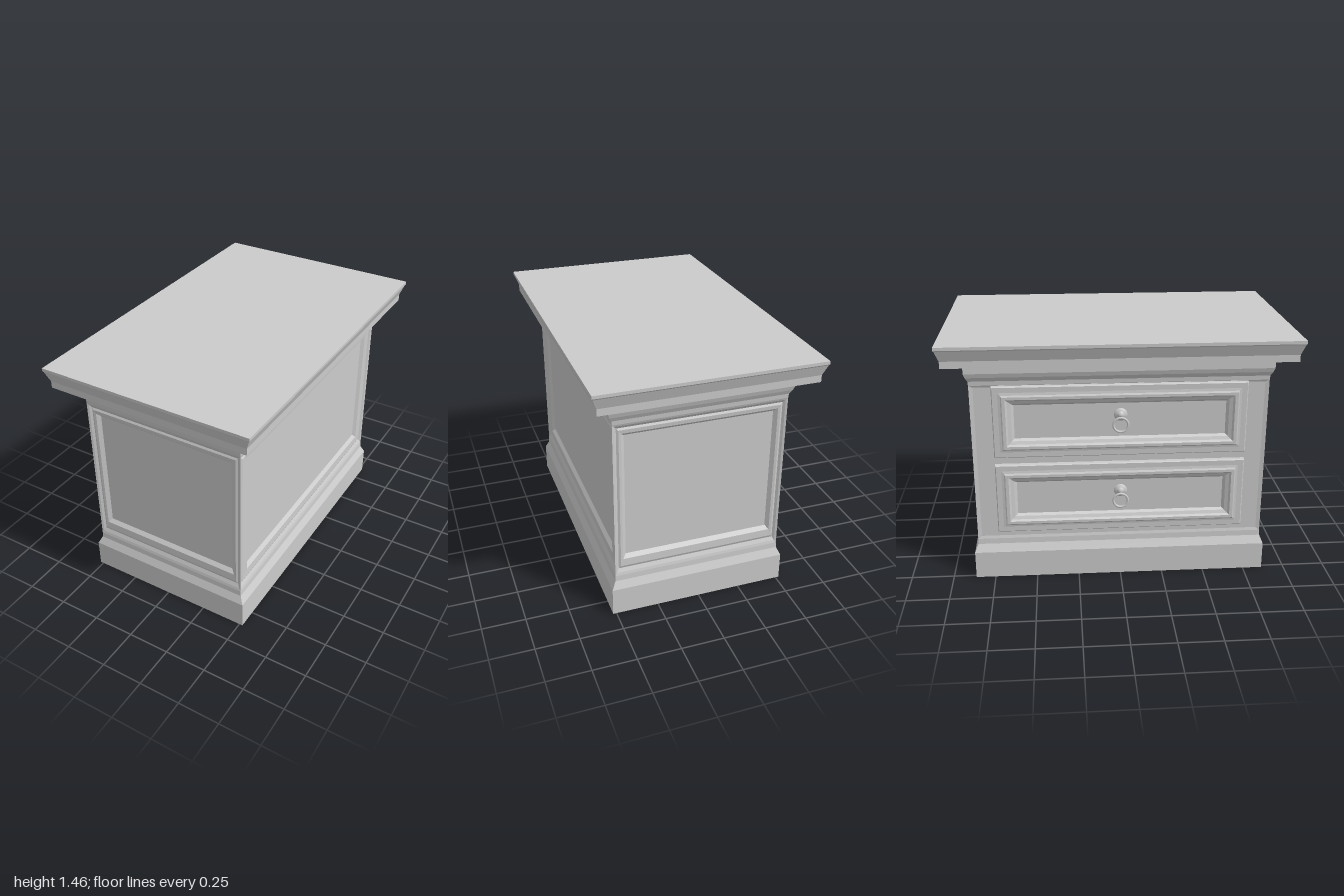
import * as THREE from 'three';

const grey = new THREE.MeshStandardMaterial({ color: 0xcccccc });

// Lofts rectangular rings [halfWidth, v0, v1, w] along local z, closing both ends.
function loft(name, rings, capStart = true) {
  const pos = [];
  const pts = rings.map(([h, v0, v1, w]) => [[-h, v0, w], [h, v0, w], [h, v1, w], [-h, v1, w]]);
  const quad = (a, b, c, d) => pos.push(...a, ...b, ...c, ...a, ...c, ...d);
  for (let i = 0; i + 1 < pts.length; i++) {
    for (let j = 0; j < 4; j++) {
      const k = (j + 1) % 4;
      quad(pts[i][j], pts[i][k], pts[i + 1][k], pts[i + 1][j]);
    }
  }
  const s = pts[0], e = pts[pts.length - 1];
  quad(e[0], e[1], e[2], e[3]);
  if (capStart) quad(s[3], s[2], s[1], s[0]);
  const geo = new THREE.BufferGeometry();
  geo.setAttribute('position', new THREE.Float32BufferAttribute(pos, 3));
  geo.computeVertexNormals();
  const mesh = new THREE.Mesh(geo, grey);
  mesh.name = name;
  return mesh;
}

// Horizontal moulding: sections are [halfX, halfZ, y].
function moulding(name, sections) {
  const mesh = loft(name, sections.map(([x, z, y]) => [x, -z, z, y]));
  mesh.rotation.x = -Math.PI / 2;
  return mesh;
}

// Framed, sunken panel for one side of the body.
function sidePanel(name, half, inset) {
  return loft(name, [
    [half, 0.245, 1.2, 0],
    [half - 0.012, 0.262, 1.188, -0.004],
    [half - 0.024, 0.285, 1.172, -0.014],
    [half - 0.036, 0.3, 1.16, -0.008],
    [half - inset + 0.02, 0.345, 1.138, -0.01],
    [half - inset, 0.368, 1.12, -0.028],
  ], false);
}

// Drawer front with raised frame, sunken field and ring pull.
function drawer(name, y) {
  const g = new THREE.Group();
  g.name = name;
  const r = (h, v, w) => [h, -v, v, w];
  g.add(loft('drawerFront', [
    r(0.72, 0.2125, -0.01), r(0.72, 0.2125, 0.02), r(0.715, 0.2075, 0.025),
    r(0.685, 0.1775, 0.025), r(0.67, 0.1625, 0.028), r(0.67, 0.1625, 0.036),
    r(0.663, 0.1555, 0.04), r(0.645, 0.14, 0.04), r(0.635, 0.13, 0.03),
    r(0.615, 0.112, 0.022), r(0.6, 0.1, 0.008),
  ]));
  const profile = [[0, 0.03], [0.012, 0.028], [0.018, 0.021], [0.024, 0.017], [0.036, 0.013], [0.04, 0.005]]
    .reverse().map(([x, h]) => new THREE.Vector2(x, h));
  const rosette = new THREE.Mesh(new THREE.LatheGeometry(profile, 24), grey);
  rosette.name = 'pullRosette';
  rosette.rotation.x = Math.PI / 2;
  rosette.position.y = 0.03;
  const ring = new THREE.Mesh(new THREE.TorusGeometry(0.042, 0.007, 10, 28), grey);
  ring.name = 'pullRing';
  ring.position.set(0, -0.025, 0.032);
  g.add(rosette, ring);
  g.position.set(-0.495, y, 0);
  g.rotation.y = -Math.PI / 2;
  return g;
}

export function createModel() {
  const model = new THREE.Group();
  model.name = 'drawerCabinet';

  // Plinth, cornice and overhanging top
  model.add(moulding('plinth', [
    [0.52, 0.865, 0], [0.52, 0.865, 0.165], [0.497, 0.845, 0.212], [0.495, 0.843, 0.245],
  ]));
  model.add(moulding('cornice', [
    [0.495, 0.843, 1.2], [0.497, 0.845, 1.225], [0.512, 0.857, 1.25],
    [0.52, 0.865, 1.275], [0.52, 0.865, 1.335],
  ]));
  model.add(moulding('top', [
    [0.607, 0.975, 1.335], [0.607, 0.975, 1.375], [0.63, 0.995, 1.435],
    [0.635, 1, 1.442], [0.635, 1, 1.46],
  ]));

  // Panelled sides
  const front = sidePanel('frontPanel', 0.495, 0.07);
  front.position.z = 0.843;
  const back = sidePanel('backPanel', 0.495, 0.07);
  back.position.z = -0.843;
  back.rotation.y = Math.PI;
  const left = sidePanel('leftPanel', 0.843, 0.108);
  left.position.x = 0.495;
  left.rotation.y = Math.PI / 2;

  // Plain face behind the drawers
  const face = loft('drawerFace', [
    [0.843, 0.245, 1.2, 0], [0.82, 0.262, 1.188, -0.005],
  ], false);
  face.position.x = -0.495;
  face.rotation.y = -Math.PI / 2;
  model.add(front, back, left, face);

  model.add(drawer('lowerDrawer', 0.5125), drawer('upperDrawer', 0.985));
  return model;
}
